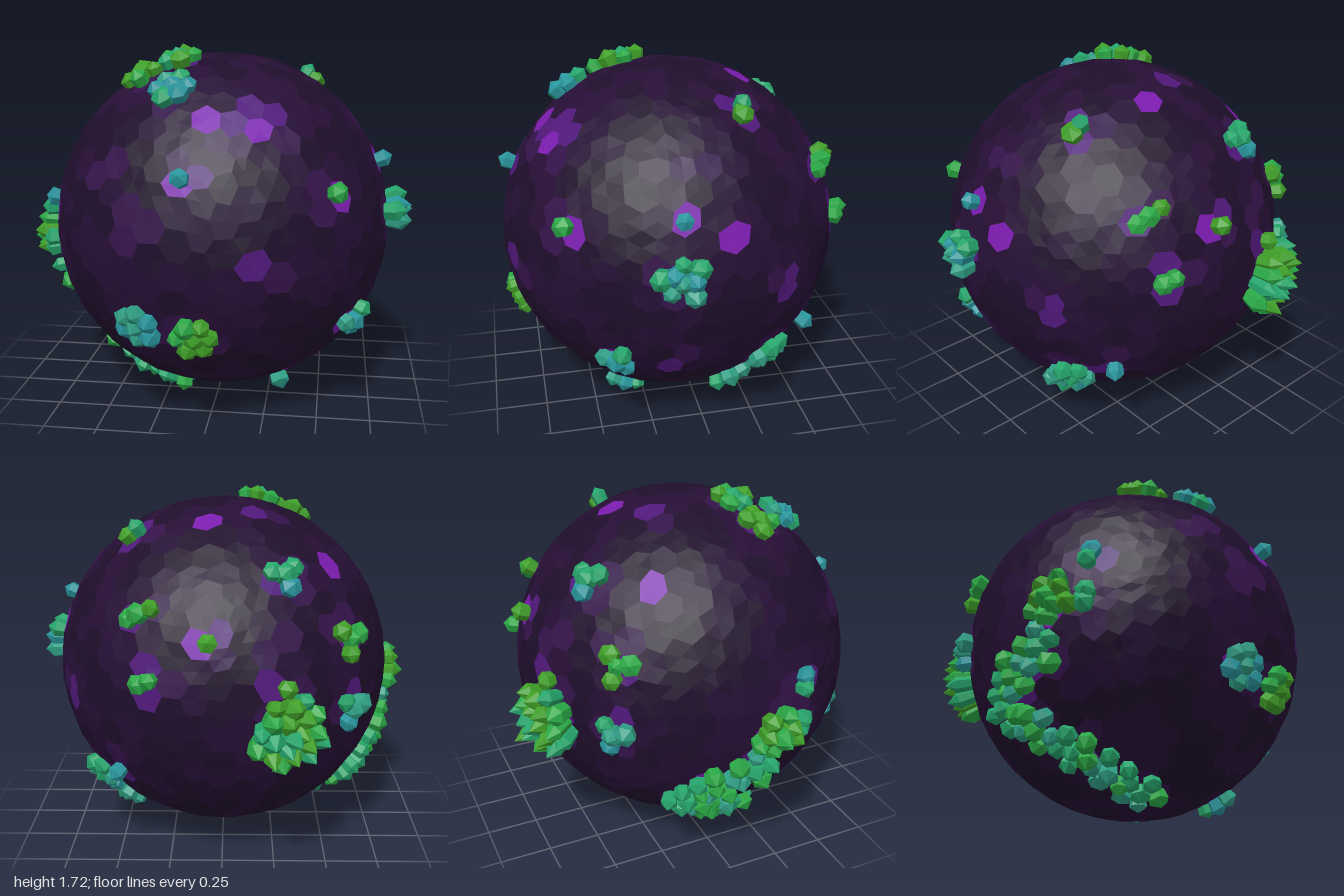
import * as THREE from 'three';

const R = 0.82;
const UP = new THREE.Vector3(0, 1, 0);
const ROCK = [0x1f0e2b, 0x260f35, 0x34134a, 0x50187a, 0x7a1cae];
const CRYSTAL = [0x3f9f28, 0x2aa845, 0x25a56b, 0x2f9f85, 0x28959c];

// Crystal clusters by main colour: longitude from the front, latitude, count
const LIME = [[-2, -25, 7], [-56, 60, 5], [151, 28, 3], [158, 9, 2], [176, 21, 1], [-160, 7, 1], [-134, 18, 4], [-84, -6, 9]];
const GREEN = [[45, 18, 1], [-45, 72, 6], [123, 56, 2], [-160, -6, 20]];
const TEAL = [
  [-22, -23, 7], [-6, 24, 1], [61, -27, 4], [83, 6, 8], [84, 23, 1], [113, -50, 7], [123, -35, 7],
  [140, -27, 1], [48, -60, 3], [-20, 55, 7], [-154, 41, 4], [-135, -4, 4], [-73, 6, 2], [-74, -8, 2],
];
// Trail of clusters winding down the right flank to the underside
const TRAIL = [[-90, -19], [-112, -30], [-102, -41], [-82, -55], [-54, -70]];
// Bare glowing patches, the first one the widest
const PATCHES = [
  [19, 42], [-2, 42], [-37, 24], [-20, 9], [21, -3], [-135, 70], [171, 67],
  [-126, 42], [92, 41], [101, 18], [83, -30], [119, -1], [-161, 20],
];

let seed = 7;
function rand() {
  seed = (seed * 16807) % 2147483647;
  return seed / 2147483647;
}

function direction(lon, lat) {
  return new THREE.Vector3().setFromSphericalCoords(1, THREE.MathUtils.degToRad(90 - lat), THREE.MathUtils.degToRad(lon));
}

// Every cluster as direction, crystal count, length, spread and colour index
function planClusters() {
  const plan = [];
  [LIME, GREEN, TEAL].forEach((list, i) => {
    for (const [lon, lat, count] of list) {
      const big = count > 7;
      plan.push({
        dir: direction(lon, lat),
        count,
        length: big ? 0.1 + count * 0.005 : 0.09,
        spread: big ? 0.03 * Math.sqrt(count) : 0.045 + count * 0.003,
        tone: [0, 1, 3][i],
      });
    }
  });
  const path = new THREE.CatmullRomCurve3(TRAIL.map(([lon, lat]) => direction(lon, lat)));
  for (let i = 0; i < 7; i++) {
    const dir = path.getPointAt(i / 6).normalize();
    plan.push({ dir, count: 6, length: 0.12 - i * 0.005, spread: 0.075, tone: 2 });
  }
  return plan;
}

// Sphere of flat polygon plates: each vertex of a geodesic sphere becomes one plate
function plateRings() {
  const pos = new THREE.IcosahedronGeometry(1, 7).attributes.position;
  const cells = new Map();
  const cellAt = (i) => {
    const v = new THREE.Vector3().fromBufferAttribute(pos, i);
    const key = v.toArray().map((n) => Math.round(n * 1000) + 0).join();
    if (!cells.has(key)) {
      const jitter = new THREE.Vector3(rand() - 0.5, rand() - 0.5, rand() - 0.5);
      cells.set(key, { seat: v.addScaledVector(jitter, 0.075).normalize(), ring: [] });
    }
    return cells.get(key);
  };
  for (let i = 0; i < pos.count; i += 3) {
    const trio = [cellAt(i), cellAt(i + 1), cellAt(i + 2)];
    const corner = new THREE.Vector3();
    trio.forEach((c) => corner.add(c.seat));
    corner.setLength(R + (rand() - 0.5) * 0.006);
    trio.forEach((c) => c.ring.push(corner));
  }
  return [...cells.values()].map((c) => c.ring);
}

function createRock(clusters) {
  const spots = PATCHES.map(([lon, lat], i) => ({ at: direction(lon, lat).setLength(R), r: i ? 0.13 : 0.26 }));
  clusters.forEach((c) => spots.push({ at: c.dir.clone().setLength(R), r: 0.12 + c.spread * 0.6 }));
  const shades = ROCK.map(() => []);
  for (const ring of plateRings()) {
    const mid = new THREE.Vector3();
    ring.forEach((p) => mid.addScaledVector(p, 1 / ring.length));
    // order the corners counter-clockwise around the plate
    const n = mid.clone().normalize();
    const u = new THREE.Vector3(0.31, 0.87, 0.38).cross(n).normalize();
    const v = n.clone().cross(u);
    const angle = (p) => Math.atan2(p.clone().sub(mid).dot(v), p.clone().sub(mid).dot(u));
    ring.sort((a, b) => angle(a) - angle(b));
    // brighter plates near patches and crystals
    let glow = rand() * 0.35;
    for (const s of spots) {
      glow = Math.max(glow, (1.15 - s.at.distanceTo(mid) / s.r) * (0.6 + rand() * 0.5));
    }
    const shade = shades[Math.min(4, Math.floor(glow * 5))];
    ring.forEach((p, i) => shade.push(...mid, ...p, ...ring[(i + 1) % ring.length]));
  }
  const rock = new THREE.Group();
  rock.name = 'rock';
  shades.forEach((points, i) => {
    const geo = new THREE.BufferGeometry();
    geo.setAttribute('position', new THREE.Float32BufferAttribute(points, 3));
    geo.computeVertexNormals();
    const mesh = new THREE.Mesh(geo, new THREE.MeshStandardMaterial({ color: ROCK[i], flatShading: true }));
    mesh.name = i < 2 ? 'rockPlates' : 'glowingPlates';
    rock.add(mesh);
  });
  return rock;
}

// Faceted crystal: narrow buried base, widening shaft, pointed tip
function crystalGeometry(width, length) {
  const profile = [
    new THREE.Vector2(width * 0.65, -0.06),
    new THREE.Vector2(width, length * 0.62),
    new THREE.Vector2(0, length),
  ];
  return new THREE.LatheGeometry(profile, 6);
}

function createCluster({ dir, count, length, spread, tone }, materials) {
  const cluster = new THREE.Group();
  cluster.name = 'crystalCluster';
  cluster.quaternion.setFromUnitVectors(UP, dir);
  for (let i = 0; i < count; i++) {
    // first crystal in the middle, the rest in a ring, or a spiral when there are many
    const many = count > 7;
    const ringRadius = many ? Math.sqrt(i / (count - 1)) : 0.9 + rand() * 0.2;
    const r = i === 0 ? 0 : spread * ringRadius;
    const a = many ? i * 2.4 : (i / Math.max(1, count - 1)) * Math.PI * 2;
    const foot = new THREE.Vector3(r * Math.cos(a), R, r * Math.sin(a)).normalize();
    const long = length * (0.8 + rand() * 0.25) * (1 - 0.25 * (i / count));
    const shift = Math.floor(rand() * 3) - 1;
    const crystal = new THREE.Mesh(
      crystalGeometry(0.04 + rand() * 0.012, long),
      materials[THREE.MathUtils.clamp(tone + shift, 0, 4)],
    );
    crystal.name = 'crystal';
    crystal.position.copy(foot).multiplyScalar(R - 0.005);
    // lean outwards a little more than the surface normal
    const lean = new THREE.Vector3(foot.x * 2.5, foot.y, foot.z * 2.5).normalize();
    crystal.quaternion.setFromUnitVectors(UP, lean);
    crystal.rotateY(rand() * Math.PI);
    cluster.add(crystal);
  }
  return cluster;
}

export function createModel() {
  seed = 7;
  const model = new THREE.Group();
  model.name = 'crystalAsteroid';
  const body = new THREE.Group();
  body.name = 'body';
  body.position.set(0, 0.89, 0.07);
  const clusters = planClusters();
  body.add(createRock(clusters));
  const materials = CRYSTAL.map((color) => new THREE.MeshStandardMaterial({ color, flatShading: true }));
  clusters.forEach((c) => body.add(createCluster(c, materials)));
  model.add(body);
  return model;
}
